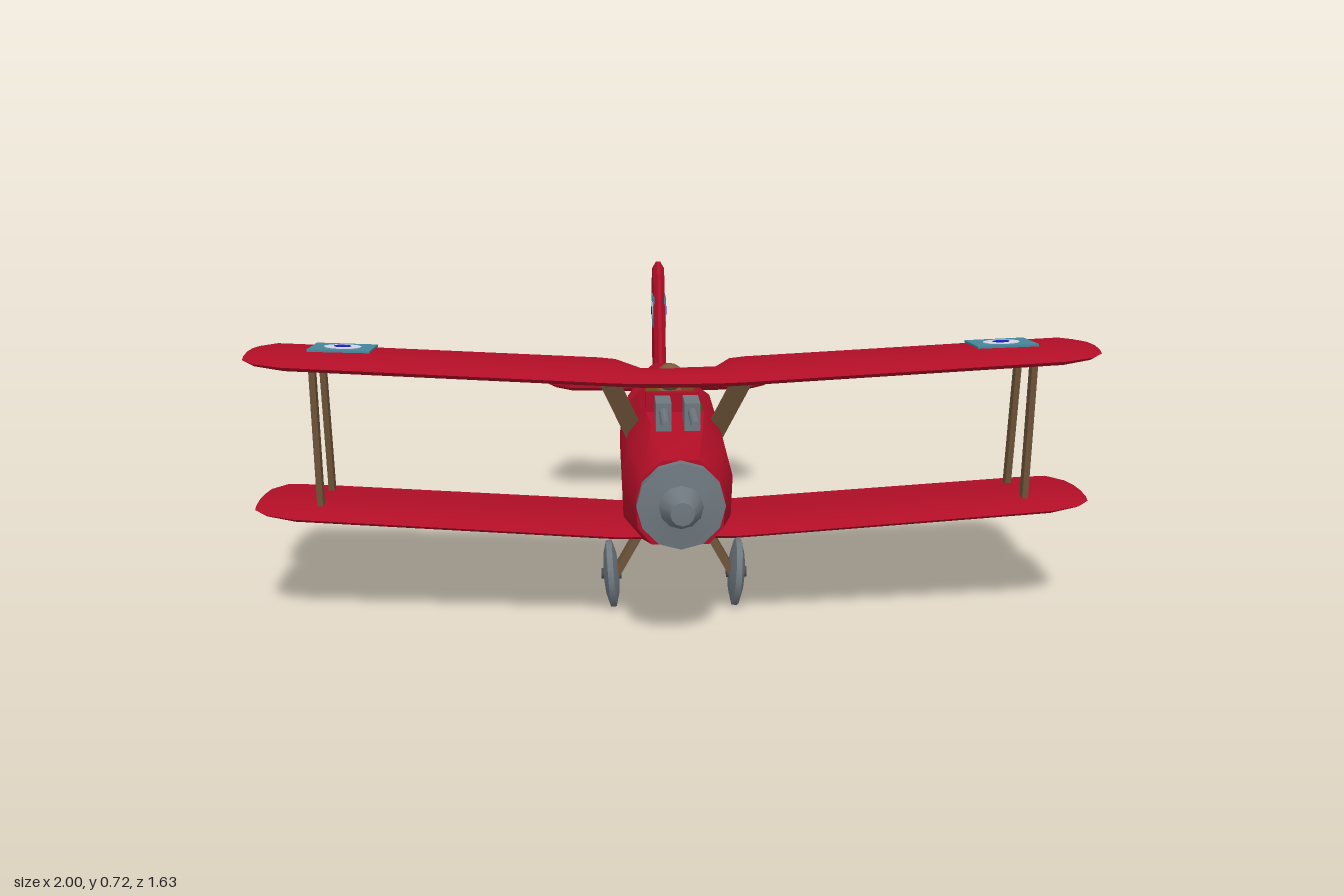
import * as THREE from 'three';
import { toCreasedNormals } from 'three/addons/utils/BufferGeometryUtils.js';

const mat = (name, color) => Object.assign(new THREE.MeshStandardMaterial({ color }), { name });

// Skin over closed rings, each counter-clockwise as seen from the end of the loft
function loft(rings, open = () => false) {
  const n = rings[0].length, index = [];
  for (let r = 0; r < rings.length - 1; r++) {
    for (let i = 0; i < n; i++) {
      if (open(r, i)) continue;
      const j = (i + 1) % n, a = r * n + i, b = r * n + j;
      index.push(a, b, b + n, a, b + n, a + n);
    }
  }
  const last = (rings.length - 1) * n;
  for (let i = 1; i < n - 1; i++) index.push(0, i + 1, i, last, last + i, last + i + 1);
  const g = new THREE.BufferGeometry();
  g.setAttribute('position', new THREE.Float32BufferAttribute(rings.flat(2), 3));
  g.setIndex(index);
  return toCreasedNormals(g, 0.7);
}

// Flat plate with bevelled rim
function plate(points, thick) {
  const bevel = thick * 0.35;
  const g = new THREE.ExtrudeGeometry(new THREE.Shape(points.map(p => new THREE.Vector2(...p))), {
    depth: thick - 2 * bevel, bevelThickness: bevel, bevelSize: 0.02, bevelOffset: -0.02, bevelSegments: 1,
  });
  return g.translate(0, 0, bevel - thick / 2);
}

export function createModel() {
  const red = mat('red paint', 0xb00e26), grey = mat('grey metal', 0x6d777e);
  const dark = mat('dark metal', 0x474c50), wood = mat('strut wood', 0x6f5439);
  const leather = mat('leather', 0x7c5a3c), pitBrown = mat('cockpit brown', 0x8a5a20);
  const teal = mat('teal', 0x45879a), white = mat('white', 0xd8d8ea);
  const blue = mat('blue', 0x1a20c0), yellow = mat('yellow', 0xd6bc10);
  pitBrown.side = THREE.BackSide;

  const model = new THREE.Group();
  const add = (name, geo, material, x = 0, y = 0, z = 0, parent = model) => {
    const m = new THREE.Mesh(geo, material);
    m.name = name;
    m.position.set(x, y, z);
    parent.add(m);
    return m;
  };
  const beam = (name, a, b, w, d, material) => {
    const p = new THREE.Vector3(...a), q = new THREE.Vector3(...b), dir = q.clone().sub(p);
    const m = add(name, new THREE.BoxGeometry(w, dir.length(), d), material);
    m.position.copy(p).add(q).multiplyScalar(0.5);
    m.quaternion.setFromUnitVectors(new THREE.Vector3(0, 1, 0), dir.normalize());
  };
  // Square marking with a disc, facing +z
  const roundel = (name, size, x, y, z, rx, ry, rz) => {
    const g = new THREE.Group();
    g.name = name;
    add('tile', new THREE.BoxGeometry(size, size, 0.006), teal, 0, 0, 0, g);
    add('disc', new THREE.CylinderGeometry(size * 0.3, size * 0.3, 0.009, 16).rotateX(Math.PI / 2), white, 0, 0, 0, g);
    add('centre', new THREE.CylinderGeometry(size * 0.14, size * 0.14, 0.012, 8).rotateX(Math.PI / 2), blue, 0, 0, 0, g);
    g.rotation.set(rx, ry, rz, 'ZYX');
    g.position.set(x, y, z);
    model.add(g);
  };

  // Fuselage: z, bottom, top, half width, half width of flat top
  const stations = [
    [-0.77, 0.348, 0.39, 0.012, 0.005], [-0.5, 0.325, 0.445, 0.055, 0.02],
    [0.08, 0.25, 0.522, 0.125, 0.03], [0.13, 0.245, 0.512, 0.128, 0.062],
    [0.25, 0.235, 0.508, 0.13, 0.065], [0.45, 0.23, 0.512, 0.13, 0.07],
    [0.56, 0.232, 0.505, 0.13, 0.06], [0.73, 0.27, 0.465, 0.1, 0.04],
  ];
  const hull = stations.map(([z, yb, yt, w, tw]) => {
    const h = yt - yb;
    const half = [[w * 0.65, yb], [w * 0.97, yb + 0.2 * h], [w, yb + 0.55 * h], [w * 0.85, yb + 0.82 * h], [tw, yt]];
    return [...half.map(([x, y]) => [x, y, z]), ...half.reverse().map(([x, y]) => [-x, y, z])];
  });
  add('fuselage', loft(hull, (r, i) => i === 4 && r >= 2 && r <= 4), red);

  // Open cockpit, seen from inside
  const rim = [[0.07, 0.45], [0.065, 0.25], [0.062, 0.13], [0.03, 0.08]];
  const pit = new THREE.Shape([...rim, ...rim.map(([x, z]) => [-x, z]).reverse()].map(p => new THREE.Vector2(...p)));
  add('cockpit', new THREE.ExtrudeGeometry(pit, { depth: 0.1, bevelEnabled: false }).rotateX(Math.PI / 2), pitBrown, 0, 0.513, 0);
  add('cockpitDivider', new THREE.BoxGeometry(0.13, 0.07, 0.02), red, 0, 0.487, 0.265);
  add('gauge', new THREE.CylinderGeometry(0.014, 0.014, 0.006, 10).rotateX(Math.PI / 2), white, 0, 0.497, 0.254);

  // Pilot
  add('pilotBody', new THREE.CylinderGeometry(0.03, 0.045, 0.09, 10), leather, 0, 0.46, 0.155);
  add('pilotHead', new THREE.SphereGeometry(0.036, 10, 8), leather, 0, 0.537, 0.155);
  for (const s of [-1, 1]) add('goggle', new THREE.SphereGeometry(0.011, 8, 6), grey, s * 0.014, 0.54, 0.185);

  // Nose
  const nose = [[0, 0.72], [0.1, 0.72], [0.1, 0.755], [0.05, 0.762], [0.027, 0.818], [0, 0.82]];
  const noseGeo = new THREE.LatheGeometry(nose.map(p => new THREE.Vector2(...p)), 12).rotateX(Math.PI / 2);
  add('nose', toCreasedNormals(noseGeo, 0.6), grey, 0, 0.365, 0);

  // Wings: airfoil as chord fraction from the leading edge and height
  const foil = [[1, 0.004], [0.6, 0.028], [0.3, 0.036], [0.08, 0.029], [0, 0.013], [0.08, 0], [0.5, 0.004], [1, 0]];
  const wing = (name, y0, dz, rise, cutout) => {
    // x, leading z, trailing z, thickness factor
    const half = [...(cutout ? [[0.08, 0.64, 0.45, 0.9], [0.14, 0.64, 0.3, 1]] : [[0.14, 0.64, 0.29, 1]]),
      [0.18, 0.638, 0.285, 1], [0.9, 0.58, 0.235, 1], [0.97, 0.555, 0.25, 0.75], [1, 0.52, 0.32, 0.4]];
    const all = [...half.map(([x, ...rest]) => [-x, ...rest]).reverse(), ...half];
    add(name, loft(all.map(([x, lead, trail, k]) => {
      const lift = y0 + rise * Math.abs(x) + 0.018 * (1 - k);
      return foil.map(([t, h]) => [x, lift + h * k, lead + dz + (trail - lead) * t]);
    })), red);
  };
  wing('upperWing', 0.603, 0, 0.04, true);
  wing('lowerWing', 0.228, -0.04, 0.045, false);

  // Tail
  const tailHalf = [[0.03, -0.48], [0.27, -0.495], [0.335, -0.56], [0.275, -0.73], [0.03, -0.7]];
  const tail = [...tailHalf, ...tailHalf.map(([x, z]) => [-x, z]).reverse()];
  add('tailplane', plate(tail, 0.034).rotateX(Math.PI / 2), red, 0, 0.378, 0);
  const fin = [[-0.49, 0.4], [-0.5, 0.447], [-0.63, 0.69], [-0.68, 0.725], [-0.77, 0.712], [-0.805, 0.667], [-0.815, 0.566], [-0.758, 0.36]];
  add('fin', plate(fin, 0.034).rotateY(-Math.PI / 2), red);
  const skid = new THREE.CatmullRomCurve3([[0.35, -0.6], [0.262, -0.615], [0.238, -0.64], [0.238, -0.68]]
    .map(([y, z]) => new THREE.Vector3(0, y, z)));
  add('tailSkid', new THREE.TubeGeometry(skid, 10, 0.008, 6), grey);

  const wheelProfile = [[0, -0.02], [0.05, -0.016], [0.083, -0.007], [0.083, 0.007], [0.05, 0.016], [0, 0.02]];
  const wheelGeo = toCreasedNormals(new THREE.LatheGeometry(wheelProfile.map(p => new THREE.Vector2(...p)), 14).rotateZ(Math.PI / 2), 0.7);

  for (const s of [-1, 1]) {
    // Struts
    beam('frontWingStrut', [s * 0.845, 0.643, 0.5], [s * 0.845, 0.272, 0.47], 0.014, 0.028, wood);
    beam('rearWingStrut', [s * 0.845, 0.643, 0.36], [s * 0.845, 0.272, 0.305], 0.014, 0.028, wood);
    beam('cabaneStrut', [s * 0.165, 0.615, 0.5], [s * 0.095, 0.45, 0.42], 0.016, 0.045, wood);

    // Landing gear
    beam('landingLeg', [s * 0.055, 0.25, 0.39], [s * 0.15, 0.08, 0.39], 0.018, 0.05, wood);
    add('wheel', wheelGeo, grey, s * 0.155, 0.09, 0.39).rotation.z = -0.07 * s;
    add('wheelHub', new THREE.CylinderGeometry(0.014, 0.014, 0.05, 8).rotateZ(Math.PI / 2), dark, s * 0.155, 0.09, 0.39);

    // Guns
    add('gunBody', new THREE.BoxGeometry(0.036, 0.065, 0.09), grey, s * 0.033, 0.533, 0.555);
    add('gunBarrel', new THREE.CylinderGeometry(0.011, 0.011, 0.14, 8).rotateX(Math.PI / 2), grey, s * 0.033, 0.545, 0.665);

    // Markings
    roundel('upperWingRoundel', 0.145, s * 0.785, 0.603 + 0.0314 + 0.0325, 0.42, -Math.PI / 2 - 0.07, 0, s * 0.04);
    roundel('lowerWingRoundel', 0.145, s * 0.785, 0.228 + 0.0353 + 0.0005, 0.38, Math.PI / 2, 0, s * 0.045);
    roundel('finRoundel', 0.092, s * 0.017, 0.58, -0.65, 0, s * Math.PI / 2, 0);

    // Yellow flecks along the side
    for (const [z, y, len] of [[0.005, 0.405, 0.012], [-0.06, 0.398, 0.014], [-0.085, 0.392, 0.012], [-0.11, 0.398, 0.014], [-0.145, 0.4, 0.014], [-0.235, 0.4, 0.012]]) {
      const t = (z + 0.5) / 0.58;
      add('sideFleck', new THREE.BoxGeometry(0.006, 0.024, len), yellow, s * (0.055 + 0.07 * t), y, z).rotation.y = s * 0.12;
    }
  }
  return model;
}
